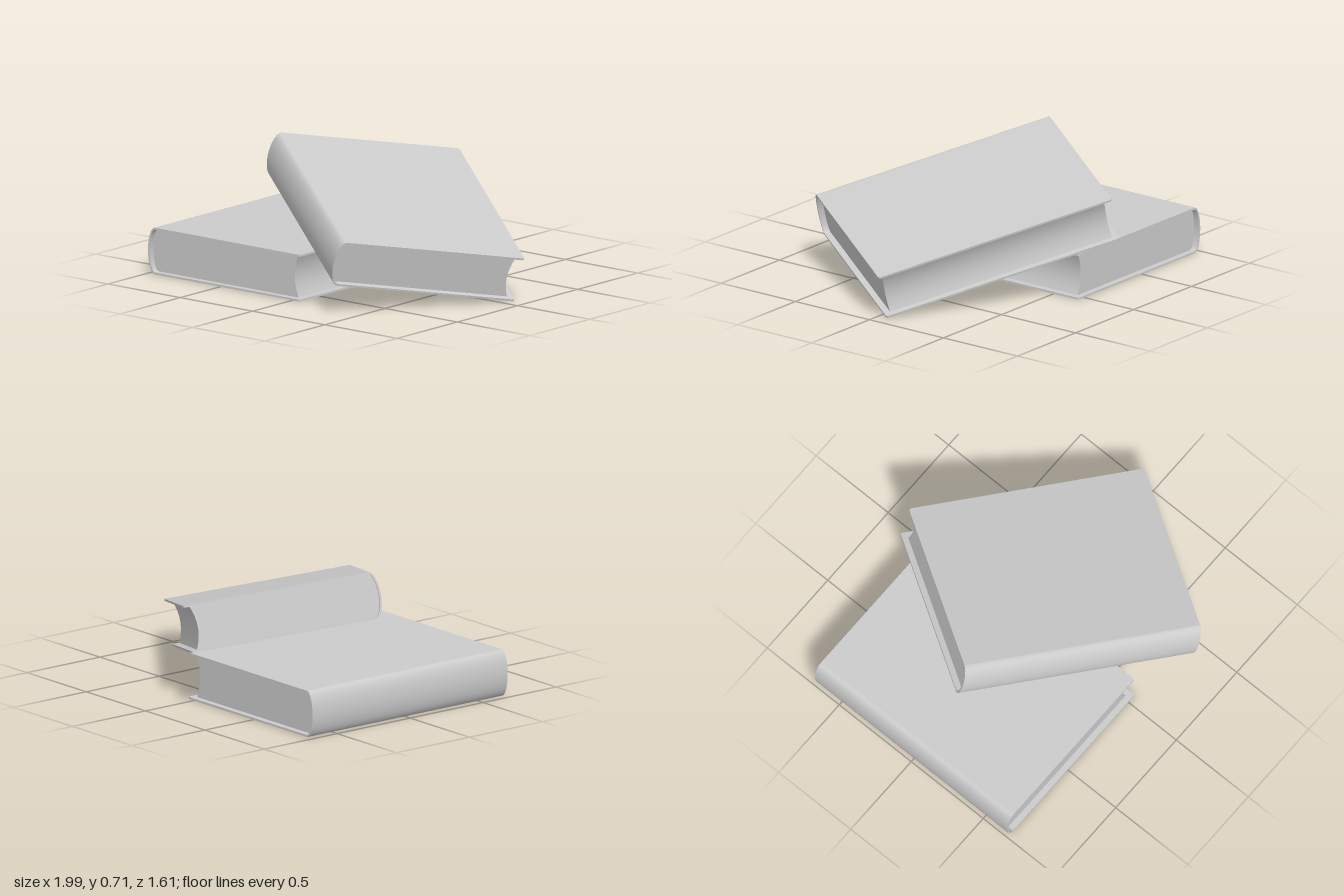
import * as THREE from 'three';
import { toCreasedNormals } from 'three/addons/utils/BufferGeometryUtils.js';

const W = 0.525, H = 0.255, L = 0.668; // half width, thickness, half length
const T = 0.011;                       // cover thickness
const HINGE = -0.475;                  // where boards meet the rounded spine
const material = new THREE.MeshStandardMaterial({ color: 0xcccccc });

// Extrude an x/y section along z, centred on z = 0
function extrudeZ(shape, halfLength) {
  const g = new THREE.ExtrudeGeometry(shape, { depth: halfLength * 2, bevelEnabled: false });
  g.translate(0, 0, -halfLength);
  return toCreasedNormals(g, 0.6);
}

// Rounded spine section from bottom to top, shrunk inwards by an inset
function spineCurve(inset) {
  const n = 16, half = H / 2 - inset, depth = W + HINGE - inset;
  const pts = [];
  for (let i = 0; i <= n; i++) {
    const a = -Math.PI / 2 + (Math.PI * i) / n;
    pts.push(new THREE.Vector2(
      HINGE - depth * Math.pow(Math.cos(a), 0.9 + 0.1 * Math.cos(a)) || HINGE,
      H / 2 + half * Math.sin(a)));
  }
  pts[0].x = pts[n].x = HINGE;
  return pts;
}

// Flat cover board with rounded outer corners
function boardGeometry() {
  const r = 0.015, s = new THREE.Shape();
  s.moveTo(HINGE, -L);
  s.lineTo(W - r, -L);
  s.quadraticCurveTo(W, -L, W, -L + r);
  s.lineTo(W, L - r);
  s.quadraticCurveTo(W, L, W - r, L);
  s.lineTo(HINGE, L);
  s.closePath();
  const g = new THREE.ExtrudeGeometry(s, { depth: T, bevelEnabled: false, curveSegments: 5 });
  g.rotateX(-Math.PI / 2);
  return toCreasedNormals(g, 0.6);
}

// Page block: convex at the spine, hollow at the fore edge
function pagesGeometry() {
  const fore = W - 0.035, s = new THREE.Shape(spineCurve(T));
  s.lineTo(fore, H - T);
  s.quadraticCurveTo(fore - 0.052, H / 2, fore, T);
  s.closePath();
  return extrudeZ(s, L - 0.033);
}

function createBook(name) {
  const book = new THREE.Group();
  book.name = name;
  const add = (part, geometry, y = 0) => {
    const mesh = new THREE.Mesh(geometry, material);
    mesh.name = part;
    mesh.position.y = y;
    book.add(mesh);
  };
  const board = boardGeometry();
  add('bottomCover', board);
  add('topCover', board, H - T);
  const spine = new THREE.Shape([...spineCurve(0), ...spineCurve(T).reverse()]);
  add('spine', extrudeZ(spine, L));
  add('pages', pagesGeometry());
  return book;
}

export function createModel() {
  const model = new THREE.Group();
  model.name = 'books';

  // Book lying flat
  const flat = createBook('flatBook');
  flat.position.set(-0.475, 0, 0);

  // Book leaning across the flat one: turned, then tilted
  const leaning = createBook('leaningBook');
  leaning.rotation.set(0, THREE.MathUtils.degToRad(56.4), THREE.MathUtils.degToRad(-16.3), 'ZYX');
  leaning.position.set(0.115, 0.239, 0.007);

  model.add(flat, leaning);
  return model;
}
